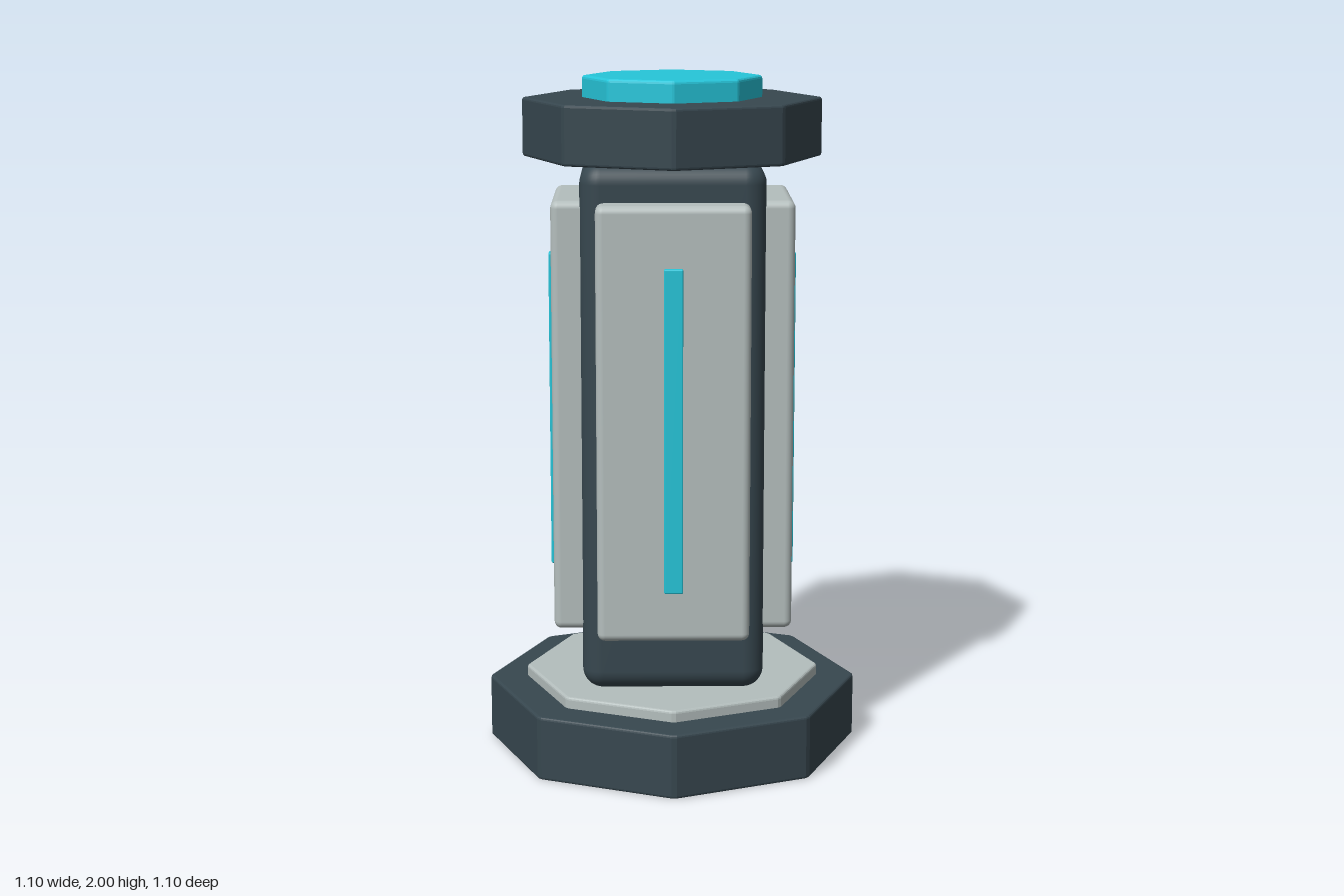
import * as THREE from 'three';
import { RoundedBoxGeometry } from 'three/addons/geometries/RoundedBoxGeometry.js';

const dark = new THREE.MeshStandardMaterial({ color: 0x37474f });
const pale = new THREE.MeshStandardMaterial({ color: 0xb4bebd });
const cyan = new THREE.MeshStandardMaterial({ color: 0x26c6da });

function addMesh(parent, name, geometry, material, x = 0, y = 0, z = 0) {
  const mesh = new THREE.Mesh(geometry, material);
  mesh.name = name;
  mesh.position.set(x, y, z);
  parent.add(mesh);
  return mesh;
}

// Bevelled octagonal slab with corners on the axes, from y0 to y1
function octagonSlab(radius, y0, y1, bevel) {
  const corner = (i) => new THREE.Vector2(
    radius * Math.cos(i * Math.PI / 4), radius * Math.sin(i * Math.PI / 4));
  const points = [];
  for (let i = 0; i < 8; i++) {
    // each corner is slightly nipped off
    points.push(corner(i).lerp(corner(i - 1), 0.02), corner(i).lerp(corner(i + 1), 0.02));
  }
  const geometry = new THREE.ExtrudeGeometry(new THREE.Shape(points), {
    depth: y1 - y0 - 2 * bevel,
    bevelEnabled: true,
    bevelThickness: bevel,
    bevelSize: bevel,
    bevelOffset: -bevel,
    bevelSegments: 3,
  });
  geometry.rotateX(-Math.PI / 2);
  geometry.translate(0, y0 + bevel, 0);
  return geometry;
}

export function createModel() {
  const model = new THREE.Group();
  model.name = 'pillar';

  // Stacked octagonal ends
  addMesh(model, 'base', octagonSlab(0.553, 0, 0.19, 0.008), dark);
  addMesh(model, 'basePlate', octagonSlab(0.441, 0.17, 0.223, 0.008), pale);
  addMesh(model, 'cap', octagonSlab(0.436, 1.767, 1.937, 0.008), dark);
  addMesh(model, 'topButton', octagonSlab(0.262, 1.9, 2, 0.01), cyan);

  // Square column with soft edges
  addMesh(model, 'column', new RoundedBoxGeometry(0.53, 1.546, 0.53, 5, 0.06), dark, 0, 0.996, 0);

  // One panel with a light strip on each side
  const panelGeometry = new RoundedBoxGeometry(0.438, 1.26, 0.12, 4, 0.022);
  const stripGeometry = new RoundedBoxGeometry(0.054, 0.937, 0.04, 2, 0.004);
  for (let i = 0; i < 4; i++) {
    const side = new THREE.Group();
    side.name = 'sidePanel' + (i + 1);
    side.rotation.y = i * Math.PI / 2;
    addMesh(side, 'panel', panelGeometry, pale, 0, 1.03, 0.288);
    addMesh(side, 'lightStrip', stripGeometry, cyan, 0, 1.017, 0.342);
    model.add(side);
  }
  return model;
}
